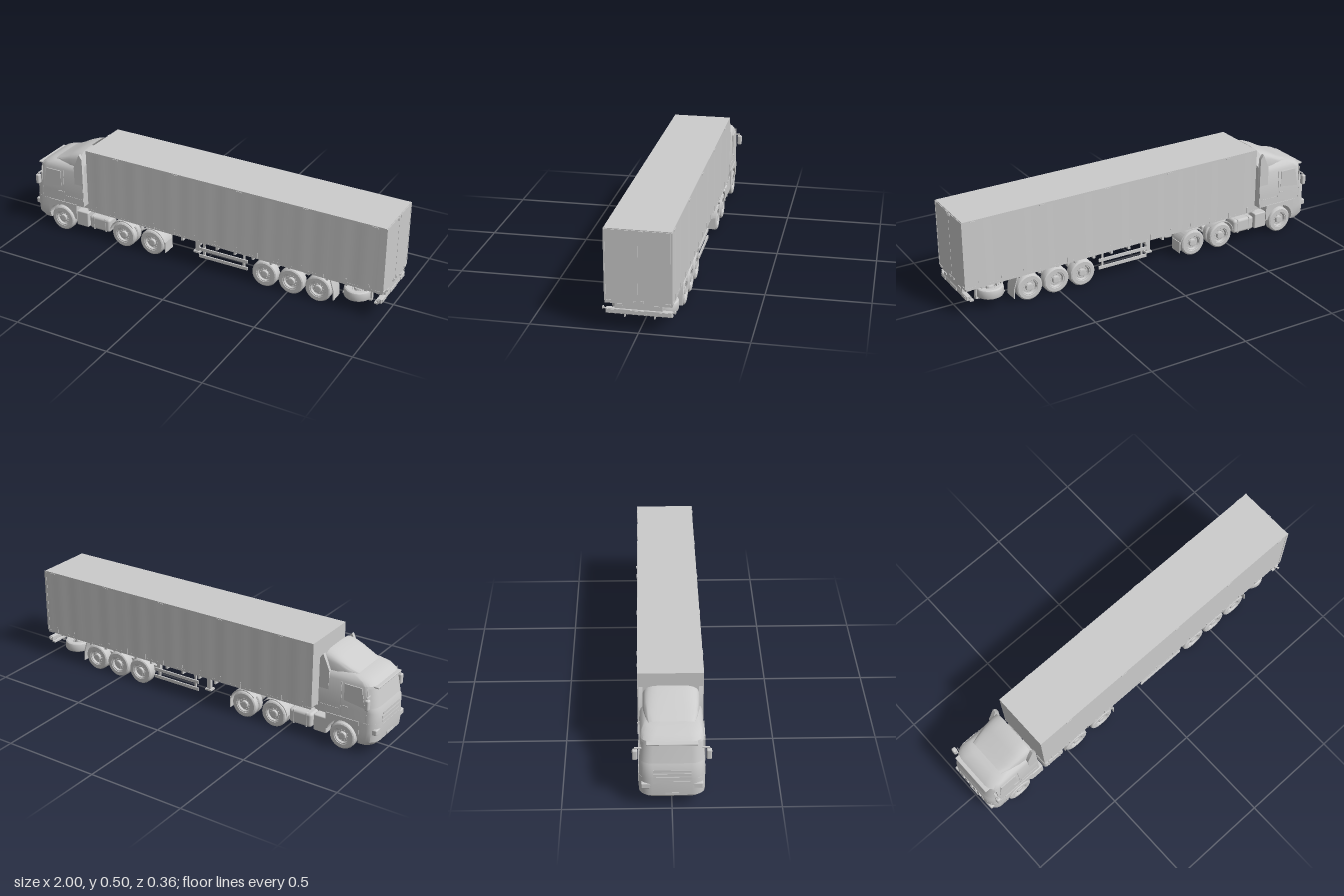
import * as THREE from 'three';
import { toCreasedNormals } from 'three/addons/utils/BufferGeometryUtils.js';
import { RoundedBoxGeometry } from 'three/addons/geometries/RoundedBoxGeometry.js';

const grey = new THREE.MeshStandardMaterial({ color: 0xcccccc });
const greyThin = new THREE.MeshStandardMaterial({ color: 0xcccccc, side: THREE.DoubleSide });

function add(parent, name, geo, mat = grey) {
  const m = new THREE.Mesh(geo, mat);
  m.name = name;
  parent.add(m);
  return m;
}
// Box given by its limits, optionally with rounded edges
function box(parent, name, x0, x1, y0, y1, z0, z1, r = 0) {
  const s = [x1 - x0, y1 - y0, z1 - z0];
  const g = r ? new RoundedBoxGeometry(...s, 3, r) : new THREE.BoxGeometry(...s);
  g.translate((x0 + x1) / 2, (y0 + y1) / 2, (z0 + z1) / 2);
  return add(parent, name, g);
}
// The same box on both sides of the vehicle
function pair(parent, name, x0, x1, y0, y1, z0, z1, r) {
  box(parent, name + 'Left', x0, x1, y0, y1, z0, z1, r);
  box(parent, name + 'Right', x0, x1, y0, y1, -z1, -z0, r);
}
// Side profile extruded between z0 and z1
function slab(parent, name, shape, z0, z1) {
  const g = new THREE.ExtrudeGeometry(shape, { depth: z1 - z0, bevelEnabled: false, curveSegments: 20 });
  return add(parent, name, toCreasedNormals(g.translate(0, 0, z0), 0.6));
}
const poly = pts => new THREE.Shape(pts.map(p => new THREE.Vector2(...p)));
function slabPair(parent, name, shape, z0, z1) {
  slab(parent, name + 'Left', shape, z0, z1);
  slab(parent, name + 'Right', shape, -z1, -z0);
}
// Cylinder lying along z
function rod(parent, name, x, y, z0, z1, r) {
  const g = new THREE.CylinderGeometry(r, r, z1 - z0, 20).rotateX(Math.PI / 2);
  return add(parent, name, g.translate(x, y, (z0 + z1) / 2));
}
// Skin over equal-length rings of [x, y, z]; closed rings get end caps
function loft(parent, name, rings, closed, crease = 0.6) {
  const n = rings[0].length, pos = rings.flat(2), idx = [];
  for (let k = 0; k < rings.length - 1; k++)
    for (let i = 0; i < (closed ? n : n - 1); i++) {
      const a = k * n + i, b = k * n + (i + 1) % n;
      idx.push(a, a + n, b, b, a + n, b + n);
    }
  if (closed) {
    const top = (rings.length - 1) * n;
    for (let i = 1; i < n - 1; i++) idx.push(0, i, i + 1, top, top + i + 1, top + i);
  }
  const g = new THREE.BufferGeometry();
  g.setAttribute('position', new THREE.Float32BufferAttribute(pos, 3));
  g.setIndex(idx);
  return add(parent, name, toCreasedNormals(g, crease), closed ? grey : greyThin);
}
// Plan outline of the cab at height y, with rounded front corners
function cabRing(y, xf, xb, w, rx = 0.05, rz = 0.06) {
  const half = [[xb, y, w]];
  for (let i = 0; i <= 7; i++) {
    const a = (i / 7) * Math.PI / 2;
    half.push([xf + rx - rx * Math.sin(a), y, w - rz + rz * Math.cos(a)]);
  }
  return half.concat(half.map(([x, h, z]) => [x, h, -z]).reverse());
}

const R = 0.068;
// Tyre, dished rim, hub and nuts; side is +1 or -1, zOut the outer face
function wheel(parent, name, x, y, zOut, w, side, flat = false) {
  const g = new THREE.Group();
  g.name = name;
  const h = w / 2;
  const pts = [[0, -h + 0.01], [0.036, -h + 0.01], [0.04, -h], [0.06, -h], [R - 0.002, -h + 0.004], [R, -h + 0.009],
    [R, h - 0.009], [R - 0.002, h - 0.004], [0.06, h], [0.043, h], [0.041, h - 0.003], [0.037, h - 0.003],
    [0.033, h - 0.014], [0.02, h - 0.014], [0.018, h - 0.002], [0.01, h], [0, h]];
  add(g, 'tyreAndRim', toCreasedNormals(new THREE.LatheGeometry(pts.map(p => new THREE.Vector2(...p)), 40), 0.5));
  for (let i = 0; i < 10; i++) {
    const a = i * Math.PI / 5;
    add(g, 'wheelNut', new THREE.CylinderGeometry(0.0025, 0.0025, 0.006, 6)
      .translate(0.026 * Math.cos(a), h - 0.012, 0.026 * Math.sin(a)));
  }
  if (!flat) g.rotation.x = side * Math.PI / 2;
  g.position.set(x, y, side * (zOut - h));
  parent.add(g);
}
function axle(parent, name, x, w, dual) {
  for (const s of [1, -1]) {
    wheel(parent, name + 'Wheel', x, R, 0.152, w, s);
    if (dual) wheel(parent, name + 'InnerWheel', x, R, 0.152 - w - 0.005, w, s);
  }
  rod(parent, name + 'Axle', x, R, -0.12, 0.12, 0.011);
}
// Curved mudguard band around (x, R) from angle a0 to a1
function mudguard(parent, x, a0, a1) {
  const s = new THREE.Shape();
  s.absarc(x, R, 0.081, a0, a1, false);
  s.absarc(x, R, 0.077, a1, a0, true);
  slabPair(parent, 'mudguard', s, 0.078, 0.152);
}

function buildCab(cab) {
  loft(cab, 'cabShell', [cabRing(0.165, -0.998, -0.69, 0.148), cabRing(0.225, -0.998, -0.69, 0.148),
    cabRing(0.245, -0.988, -0.69, 0.148), cabRing(0.355, -0.966, -0.69, 0.143), cabRing(0.375, -0.945, -0.69, 0.136),
    cabRing(0.39, -0.905, -0.69, 0.122), cabRing(0.398, -0.85, -0.69, 0.1)], true);
  loft(cab, 'bumper', [cabRing(0.052, -0.975, -0.905, 0.14), cabRing(0.075, -0.996, -0.905, 0.149),
    cabRing(0.125, -1, -0.905, 0.15), cabRing(0.17, -0.998, -0.905, 0.149)], true);
  // Windscreen and grille follow the curved front
  const front = (...a) => cabRing(...a).slice(3, -3);
  loft(cab, 'windscreen', [front(0.252, -0.9895, -0.69, 0.148), front(0.345, -0.971, -0.69, 0.144)], false);
  for (let i = 0; i < 4; i++) box(cab, 'grilleBar', -1, -0.99, 0.145 + i * 0.021, 0.157 + i * 0.021, -0.085, 0.085);
  box(cab, 'sunVisor', -0.985, -0.955, 0.347, 0.355, -0.115, 0.115, 0.003);
  pair(cab, 'headlamp', -0.999, -0.965, 0.115, 0.145, 0.085, 0.14, 0.006);
  box(cab, 'numberPlate', -1, -0.99, 0.08, 0.092, -0.03, 0.03);
  // Doors
  slabPair(cab, 'sideWindow', poly([[-0.935, 0.245], [-0.825, 0.26], [-0.825, 0.345], [-0.915, 0.345]]), 0.143, 0.1485);
  for (const x of [-0.945, -0.81]) pair(cab, 'doorSeam', x, x + 0.002, 0.17, 0.35, 0.14, 0.1487);
  pair(cab, 'doorHandle', -0.845, -0.82, 0.225, 0.231, 0.147, 0.152);
  pair(cab, 'sideTrim', -0.8, -0.7, 0.205, 0.209, 0.147, 0.15);
  // Mirrors on short arms
  pair(cab, 'mirror', -0.968, -0.945, 0.252, 0.307, 0.153, 0.178, 0.008);
  pair(cab, 'mirrorArm', -0.957, -0.951, 0.31, 0.316, 0.135, 0.168);
  pair(cab, 'mirrorStay', -0.957, -0.951, 0.3, 0.316, 0.162, 0.168);
  // Front wheel arches and steps
  const arch = new THREE.Shape();
  arch.moveTo(-0.91, 0.17).lineTo(-0.91, 0.086);
  arch.absarc(-0.824, 0.07, 0.081, Math.PI - 0.2, 0.2, true);
  arch.lineTo(-0.733, 0.086).lineTo(-0.733, 0.17);
  slabPair(cab, 'wheelArch', arch, 0.09, 0.152);
  pair(cab, 'sideStep', -0.738, -0.665, 0.05, 0.135, 0.095, 0.146, 0.006);
  box(cab, 'engineCover', -0.96, -0.71, 0.055, 0.17, -0.075, 0.075);
  // Roof deflector: arched sections growing towards the rear
  const arcs = [[-0.875, 0.398, 0.105], [-0.83, 0.418, 0.118], [-0.78, 0.446, 0.126], [-0.735, 0.466, 0.13], [-0.705, 0.472, 0.13]]
    .map(([x, top, w]) => Array.from({ length: 15 }, (_, i) => {
      const a = i / 14 * Math.PI, c = Math.cos(a);
      return [x, 0.385 + (top - 0.385) * Math.sin(a) ** 0.45, w * Math.sign(c) * Math.abs(c) ** 0.5];
    }));
  loft(cab, 'roofDeflector', arcs, false, 0.9);
  // Side fairings behind the cab
  slabPair(cab, 'sideFairing', poly([[-0.74, 0.17], [-0.688, 0.17], [-0.688, 0.44], [-0.705, 0.465], [-0.74, 0.385]]), 0.128, 0.146);
}

function buildTractorChassis(t) {
  pair(t, 'frameRail', -0.9, -0.2, 0.095, 0.135, 0.042, 0.054);
  for (const x of [-0.7, -0.58, -0.48, -0.36, -0.21]) box(t, 'crossMember', x, x + 0.015, 0.1, 0.13, -0.045, 0.045);
  pair(t, 'fuelTank', -0.655, -0.53, 0.053, 0.128, 0.072, 0.148, 0.014);
  for (const x of [-0.63, -0.56]) pair(t, 'tankStrap', x, x + 0.007, 0.052, 0.129, 0.071, 0.149, 0.003);
  box(t, 'gearbox', -0.72, -0.6, 0.07, 0.13, -0.03, 0.03, 0.01);
  box(t, 'couplingPlate', -0.42, -0.28, 0.138, 0.158, -0.06, 0.06);
  add(t, 'driveShaft', new THREE.CylinderGeometry(0.009, 0.009, 0.34, 12).rotateZ(Math.PI / 2).translate(-0.44, 0.085, 0));
  for (const x of [-0.444, -0.273]) {
    add(t, 'differential', new THREE.SphereGeometry(0.034, 20, 14).translate(x, 0.067, 0));
    pair(t, 'airSpring', x + 0.025, x + 0.06, 0.06, 0.1, 0.035, 0.065, 0.008);
    axle(t, 'drive', x, 0.035, true);
  }
  mudguard(t, -0.444, 0.75, 3.0);
  mudguard(t, -0.273, 0.15, 2.4);
  pair(t, 'mudFlap', -0.194, -0.19, 0.03, 0.09, 0.078, 0.152);
  axle(t, 'steer', -0.824, 0.045, false);
}

function buildTrailer(t) {
  // Load body, slightly lower at the rear
  slab(t, 'loadBody', poly([[-0.655, 0.165], [0.994, 0.148], [0.994, 0.49], [-0.655, 0.503]]), -0.152, 0.152);
  const top = x => 0.501 - 0.013 * (x + 0.655) / 1.65, bottom = x => 0.166 - 0.017 * (x + 0.655) / 1.65;
  // Softly rippled side curtains
  for (const s of [1, -1]) {
    const g = new THREE.PlaneGeometry(1.6, 1, 150, 2), p = g.attributes.position;
    for (let i = 0; i < p.count; i++) {
      const x = p.getX(i) + 0.165, v = p.getY(i) + 0.5;
      p.setXYZ(i, x, bottom(x) + v * (top(x) - 0.008 - bottom(x)), s * (0.1532 + 0.0007 * Math.sin(x * 47) * Math.sin(x * 13)));
    }
    g.computeVertexNormals();
    add(t, 'sideCurtain', g, greyThin);
  }
  for (let i = 0; i < 14; i++) {
    const x = -0.61 + i * 0.118, y = bottom(x);
    pair(t, 'curtainBuckle', x, x + 0.006, y - 0.006, y + 0.024, 0.151, 0.1555);
    if (i % 3 === 1) pair(t, 'roofClip', x, x + 0.03, top(x) - 0.009, top(x) - 0.003, 0.151, 0.155);
  }
  slabPair(t, 'sideRail', poly([[-0.655, 0.158], [0.99, 0.138], [0.99, 0.15], [-0.655, 0.168]]), 0.146, 0.1535);
  // Rear doors with seam, hinges and corner posts
  pair(t, 'rearDoor', 0.99, 0.997, 0.155, 0.486, 0.0012, 0.146);
  pair(t, 'cornerPost', 0.985, 0.998, 0.148, 0.488, 0.147, 0.1535);
  for (const y of [0.143, 0.474]) for (const z of [0.012, 0.02]) pair(t, 'lockBracket', 0.99, 1, y, y + 0.012, z, z + 0.005);
  // Frame beams, deeper behind the coupling neck
  slabPair(t, 'frameBeam', poly([[-0.6, 0.165], [-0.6, 0.155], [-0.2, 0.15], [-0.06, 0.115], [0.75, 0.108], [0.98, 0.118], [0.98, 0.15]]), 0.048, 0.062);
  for (let i = 0; i < 11; i++) box(t, 'floorMember', -0.1 + i * 0.1, -0.088 + i * 0.1, 0.128, 0.155, -0.145, 0.145);
  add(t, 'kingPin', new THREE.CylinderGeometry(0.01, 0.01, 0.03, 16).translate(-0.35, 0.152, 0));
  // Landing legs
  pair(t, 'landingLeg', -0.04, -0.02, 0.065, 0.155, 0.085, 0.105);
  pair(t, 'landingFoot', -0.048, -0.012, 0.057, 0.066, 0.078, 0.112);
  rod(t, 'landingCrossShaft', -0.03, 0.115, -0.09, 0.09, 0.005);
  // Side guards
  for (const y of [0.06, 0.1]) pair(t, 'guardRail', 0.005, 0.28, y, y + 0.016, 0.14, 0.147);
  for (const x of [0.025, 0.25]) pair(t, 'guardPost', x, x + 0.01, 0.06, 0.152, 0.131, 0.14);
  // Running gear
  for (const x of [0.374, 0.519, 0.663]) {
    axle(t, 'trailer', x, 0.05, false);
    pair(t, 'trailingArm', x - 0.065, x + 0.03, 0.062, 0.078, 0.05, 0.066);
    pair(t, 'armHanger', x - 0.068, x - 0.05, 0.06, 0.115, 0.047, 0.069);
    pair(t, 'airSpring', x + 0.012, x + 0.045, 0.075, 0.115, 0.046, 0.076, 0.008);
  }
  const flap = poly([[0.725, 0.14], [0.73, 0.14], [0.748, 0.08], [0.75, 0.03], [0.746, 0.03], [0.743, 0.08]]);
  slabPair(t, 'mudFlap', flap, 0.08, 0.152);
  // Spare wheels slung flat below the floor
  for (const s of [1, -1]) wheel(t, 'spareWheel', 0.845, 0.079, 0.11, 0.05, s, true);
  pair(t, 'spareCarrier', 0.77, 0.92, 0.05, 0.056, 0.075, 0.095);
  pair(t, 'carrierHanger', 0.915, 0.922, 0.05, 0.13, 0.075, 0.095);
  // Rear sill, underrun bar and lamps
  box(t, 'rearSill', 0.965, 0.994, 0.112, 0.15, -0.107, 0.107);
  pair(t, 'sillEnd', 0.965, 0.994, 0.135, 0.15, 0.107, 0.152);
  box(t, 'underrunBar', 0.97, 0.992, 0.084, 0.108, -0.15, 0.15, 0.003);
  box(t, 'lowerBar', 0.955, 0.975, 0.076, 0.084, -0.15, 0.15);
  box(t, 'numberPlate', 0.99, 0.995, 0.088, 0.104, -0.037, 0.037);
  pair(t, 'barLamp', 0.99, 0.995, 0.088, 0.104, 0.095, 0.142);
  pair(t, 'barBracket', 0.955, 0.97, 0.06, 0.13, 0.065, 0.071);
  pair(t, 'sillLamp', 0.99, 0.998, 0.125, 0.135, 0.07, 0.097);
  pair(t, 'upperLamp', 0.99, 0.998, 0.143, 0.151, 0.122, 0.145);
  pair(t, 'markerArm', 0.975, 0.982, 0.1, 0.104, 0.148, 0.165);
  pair(t, 'markerLamp', 0.973, 0.984, 0.1, 0.11, 0.16, 0.166);
}

export function createModel() {
  const truck = new THREE.Group();
  truck.name = 'articulatedTruck';
  const parts = { cab: buildCab, tractorChassis: buildTractorChassis, trailer: buildTrailer };
  for (const [name, build] of Object.entries(parts)) {
    const g = new THREE.Group();
    g.name = name;
    build(g);
    truck.add(g);
  }
  return truck;
}
